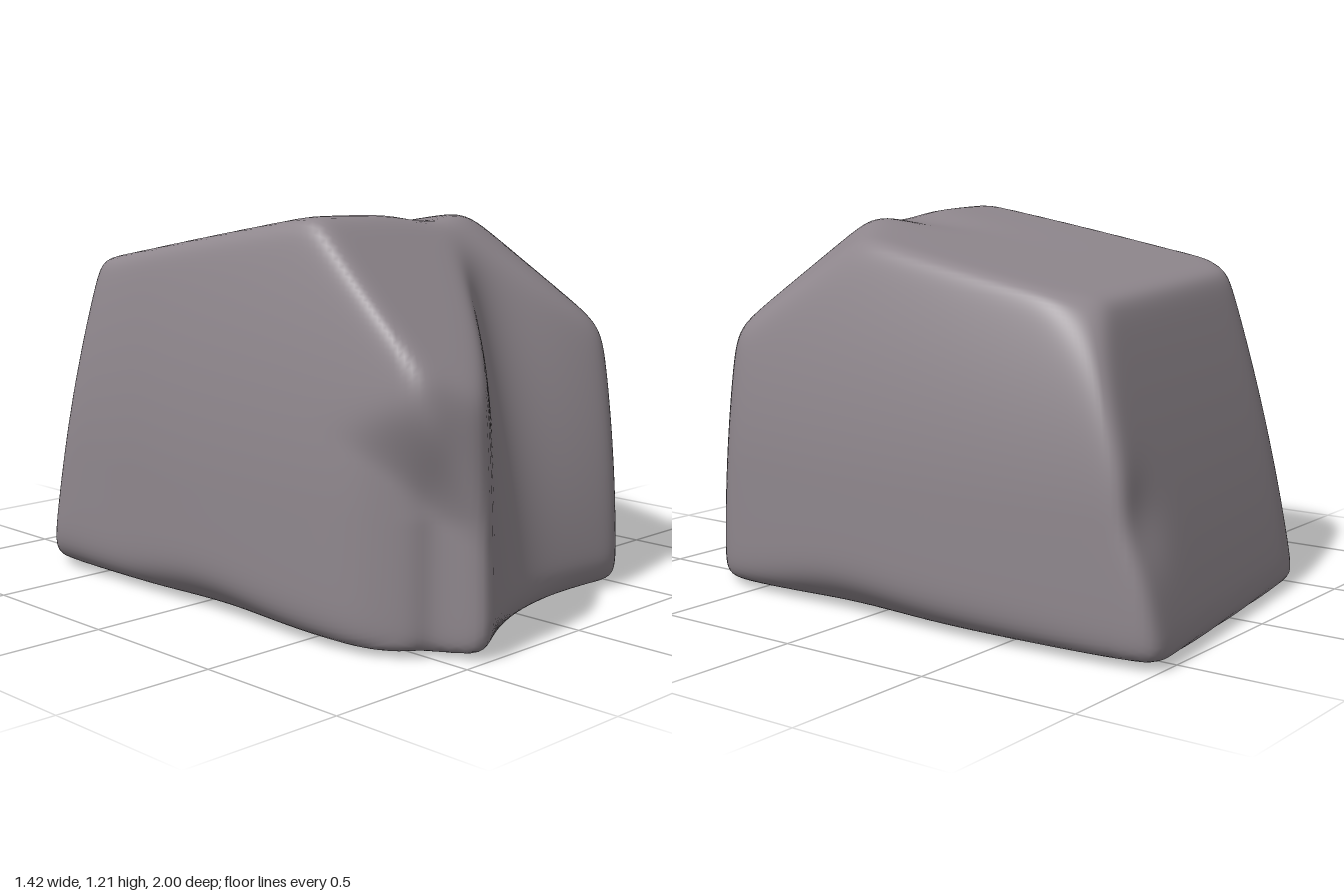
import * as THREE from 'three';
import { mergeVertices } from 'three/addons/utils/BufferGeometryUtils.js';

const SOFT = 0.021; // edge softness
const sq = (v) => v * v;
const bump = (v, centre, width) => Math.exp(-sq((v - centre) / width));
const above = (v, start) => Math.max(0, v - start);
const rise = THREE.MathUtils.smoothstep;

// Signed amount by which a point lies outside each worn face of the boulder
function faces(x, y, z) {
  // groove near the left edge of the front, fading out upwards
  const groove = 0.025 * bump(x, -0.5 - 0.2 * above(y, 0.4), 0.05) * (1 - rise(y, 0.4, 0.72));
  // small dent in the back corner
  const dent = 0.022 * bump(y, 0.4, 0.12) * bump(x, 0.6, 0.13);
  // shallow dip where the top meets the front slope
  const dip = 0.028 * bump(x, -0.02, 0.15) * bump(z, 0.42, 0.28);
  // back leans forward as it rises
  const lean = 0.17 * y + 0.09 * y * y - 0.02;
  // front leans back as it rises, most in its hollow middle; its foot is rounded
  const frontLean = 0.08 * y * y * (1 + x) + 0.17 * y * bump(x, 0.03, 0.27) + 0.025 * bump(y, 0, 0.06);
  return [
    x - (0.71 - 0.1 * sq(z + 0.15) - 0.24 * sq(above(y, 0.4))),             // side +x
    -x - (0.71 - 0.09 * sq(above(z, 0)) - 0.015 * bump(z, -0.35, 0.2) - 0.16 * sq(above(y, 0.4))), // side -x
    -z - (0.93 + 0.14 * x - lean - dent),                                   // back
    -0.69 * x - 0.72 * z - (0.965 - 0.75 * lean),                           // bevelled back corner on -x
    0.707 * (x - z) - 1.18 + 0.29 * y * y * y,                              // worn upper back corner on +x
    z - (0.82 - 0.26 * x + 0.486 * x * x - frontLean - groove),             // hollow front
    0.94 * (z - 1.025 - 0.35 * (x + 0.43) + 0.06 * y + groove),             // front edge on -x
    0.6 * z - 0.8 * x - 0.955 - 0.13 * rise(y + 1.2 * (x + 0.5), 0.4, 0.7) + groove, // broken lower front corner on -x
    0.707 * (x + z) + 0.08 * y * y - 0.89,                                  // bevelled front corner on +x
    0.1 * x + 0.738 * y + 0.674 * z - 1.163,                                // front slope
    0.453 * x + 0.772 * y + 0.448 * z - 1.175,                              // chipped upper corner
    y - 1.137 - 0.185 * z + dip,                                            // top
    0.012 * (x * x + z * z) - y,                                            // underside
    0.7 * (Math.abs(x) - 0.635 - y) + 0.025 * bump(z, 0.1, 0.3),            // worn lower side edges
  ];
}

// Soft maximum of all faces: zero on the surface
function outside(x, y, z) {
  const f = faces(x, y, z);
  const top = Math.max(...f);
  let sum = 0;
  for (const v of f) sum += Math.exp((v - top) / SOFT);
  return top + SOFT * Math.log(sum);
}

function boulderGeometry() {
  let geo = new THREE.BoxGeometry(1.4, 1.1, 1.9, 64, 52, 88);
  geo.deleteAttribute('uv');
  geo.deleteAttribute('normal');
  geo = mergeVertices(geo, 1e-4);
  const pos = geo.attributes.position;
  const centreY = 0.52;
  // push every vertex along its ray from the centre onto the surface
  for (let i = 0; i < pos.count; i++) {
    const x = pos.getX(i), y = pos.getY(i), z = pos.getZ(i);
    let lo = 0.2, hi = 2;
    for (let n = 0; n < 22; n++) {
      const mid = (lo + hi) / 2;
      if (outside(x * mid, centreY + y * mid, z * mid) > 0) hi = mid;
      else lo = mid;
    }
    pos.setXYZ(i, x * lo, centreY + y * lo, z * lo);
  }
  // centre it, standing on the ground
  geo.computeBoundingBox();
  const mid = geo.boundingBox.getCenter(new THREE.Vector3());
  geo.translate(-mid.x, -geo.boundingBox.min.y, -mid.z);
  geo.computeVertexNormals();
  return geo;
}

export function createModel() {
  const group = new THREE.Group();
  group.name = 'rock';
  const boulder = new THREE.Mesh(boulderGeometry(), new THREE.MeshStandardMaterial({ color: 0x8f878d }));
  boulder.name = 'boulder';
  group.add(boulder);
  return group;
}
